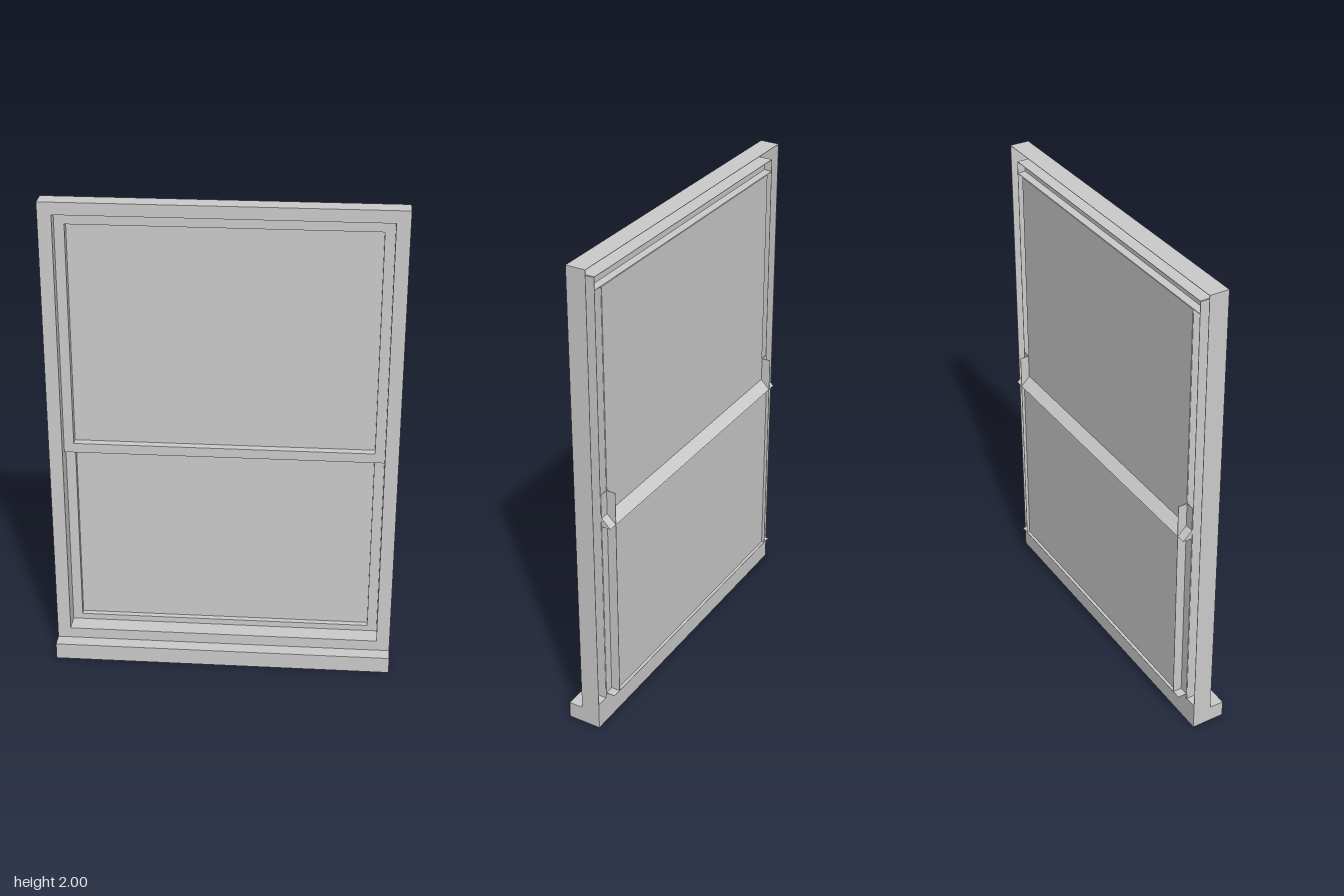
import * as THREE from 'three';

const T = 0.002; // sheet thickness

export function createModel() {
  const model = new THREE.Group();
  model.name = 'sashWindow';
  const mat = new THREE.MeshStandardMaterial({ color: 0xcccccc, side: THREE.DoubleSide, flatShading: true });

  // Box given by its limits on each axis
  function box(parent, name, x0, x1, y0, y1, z0, z1) {
    const mesh = new THREE.Mesh(new THREE.BoxGeometry(x1 - x0, y1 - y0, z1 - z0), mat);
    mesh.position.set((x0 + x1) / 2, (y0 + y1) / 2, (z0 + z1) / 2);
    mesh.name = name;
    parent.add(mesh);
  }
  // The same box on both sides of x = 0
  function pair(parent, name, x0, x1, y0, y1, z0, z1) {
    box(parent, name + 'Left', x0, x1, y0, y1, z0, z1);
    box(parent, name + 'Right', -x1, -x0, y0, y1, z0, z1);
  }
  function group(name) {
    const g = new THREE.Group();
    g.name = name;
    model.add(g);
    return g;
  }

  const W = 0.705, O = 0.65, G = 0.61;      // outer frame, opening and glass half widths
  const back = -0.05, front = 0.03;

  // Outer frame: channels open at the back
  const frame = group('outerFrame');
  pair(frame, 'jambFace', O, W, 0.115, 2, front - T, front);
  pair(frame, 'jambOuterWall', W - T, W, 0.115, 2, back, front);
  pair(frame, 'jambInnerWall', O, O + T, 0.115, 1.95, back, front);
  box(frame, 'headFace', -O, O, 1.95, 2, front - T, front);
  box(frame, 'headTop', -W, W, 2 - T, 2, back, front);
  box(frame, 'headUnderside', -O, O, 1.95, 1.95 + T, back, front);

  // Solid bottom rail and projecting sill
  box(frame, 'bottomRail', -W, W, 0, 0.115, back, front);
  box(frame, 'sill', -W, W, 0, 0.07, front, 0.09);

  // Upper sash: front faces with returns running back to the glass
  const upper = group('upperSash');
  const uz = -0.015;
  pair(upper, 'upperStileFace', G, O, 0.97, 1.95, uz - T, uz);
  pair(upper, 'upperStileReturn', G, G + T, 0.97, 1.9, back, uz);
  box(upper, 'upperTopRailFace', -G, G, 1.9, 1.95, uz - T, uz);
  box(upper, 'upperTopRailReturn', -O, O, 1.9, 1.9 + T, back, uz);
  box(upper, 'upperGlass', -G, G, 0.97, 1.9, back - T, back);

  // Meeting rail with a sloping back
  const profile = new THREE.Shape([[0.015, 0.93], [0.05, 0.93], [0.09, 0.93], [0.05, 0.97], [0.015, 0.97]]
    .map(([x, y]) => new THREE.Vector2(x, y)));
  const rail = new THREE.Mesh(new THREE.ExtrudeGeometry(profile, { depth: 2 * O, bevelEnabled: false }), mat);
  rail.name = 'meetingRail';
  rail.rotation.y = Math.PI / 2;
  rail.position.x = -O;
  model.add(rail);

  // Lower sash: set behind the upper one, stiles rise past the meeting rail
  const lower = group('lowerSash');
  pair(lower, 'lowerStileFace', G, O, 0.115, 1.07, back - T, back);
  pair(lower, 'lowerStileReturn', G, G + T, 0.14, 1.07, -0.09, back);
  box(lower, 'lowerBottomRailFace', -G, G, 0.115, 0.14, back - T, back);
  box(lower, 'lowerBottomRailReturn', -O, O, 0.14 - T, 0.14, -0.09, back);
  box(lower, 'lowerGlass', -G, G, 0.14, 0.93, -0.075 - T, -0.075);

  return model;
}
